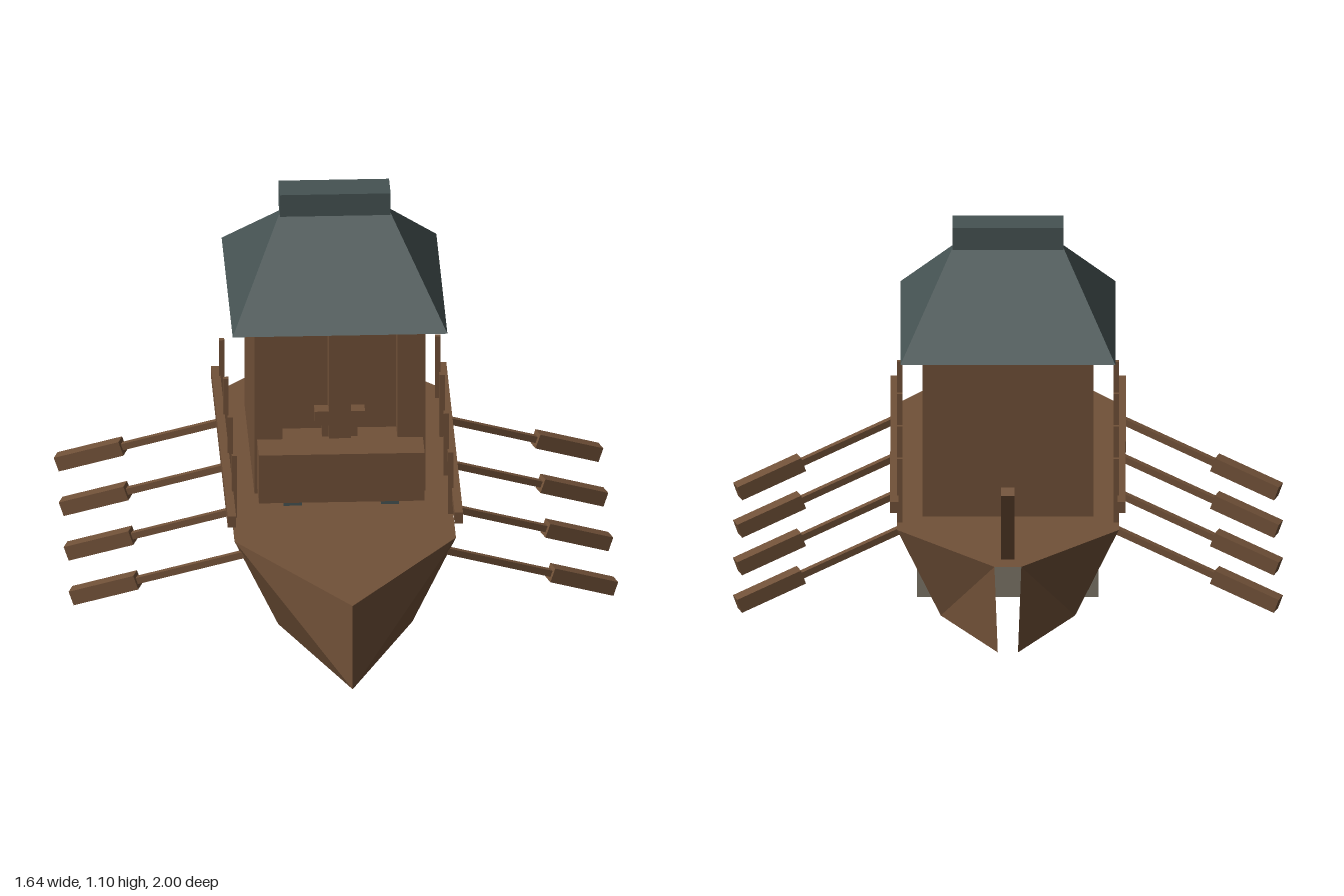
import * as THREE from 'three';

export function createModel() {
  const model = new THREE.Group();
  const mat = (name, color) => {
    const m = new THREE.MeshStandardMaterial({ color, side: THREE.DoubleSide, flatShading: true });
    m.name = name;
    return m;
  };
  const wood = mat('wood', 0x715138);
  const slate = mat('slate', 0x465353);
  const stone = mat('stone', 0x7d7768);

  const add = (name, geometry, material) => {
    const mesh = new THREE.Mesh(geometry, material);
    mesh.name = name;
    model.add(mesh);
    return mesh;
  };
  // Box given by its low and high limits on each axis
  const box = (name, material, [x0, x1], [y0, y1], [z0, z1]) => {
    const mesh = add(name, new THREE.BoxGeometry(x1 - x0, y1 - y0, z1 - z0), material);
    mesh.position.set((x0 + x1) / 2, (y0 + y1) / 2, (z0 + z1) / 2);
    return mesh;
  };
  // Square bar running between two points
  const bar = (name, from, to, width, height = width) => {
    const mesh = add(name, new THREE.BoxGeometry(width, height, from.distanceTo(to)), wood);
    mesh.position.copy(from).lerp(to, 0.5);
    mesh.lookAt(to);
    return mesh;
  };
  // Faceted geometry from a list of polygons, fanned into triangles
  const facets = (polygons) => {
    const out = [];
    for (const p of polygons) {
      for (let i = 1; i < p.length - 1; i++) out.push(...p[0], ...p[i], ...p[i + 1]);
    }
    const g = new THREE.BufferGeometry();
    g.setAttribute('position', new THREE.Float32BufferAttribute(out, 3));
    g.computeVertexNormals();
    return g;
  };

  // Hull: flared sides, pointed bow, open underneath and at the narrow stern
  const H = 0.27;
  const bowTop = [0, H, 1], bowLow = [0, 0, 1];
  const hull = [];
  for (const s of [1, -1]) {
    const frontTop = [0.33 * s, H, 0.5], frontLow = [0.2 * s, 0, 0.5];
    const backTop = [0.33 * s, H, -0.63], backLow = [0.2 * s, 0, -0.63];
    const sternTop = [0.04 * s, H, -0.96], sternLow = [0.03 * s, 0, -0.96];
    const side = [
      [bowTop, bowLow, frontTop],
      [bowLow, frontLow, frontTop],
      [frontTop, frontLow, backLow, backTop],
      [backTop, backLow, sternTop],
      [backLow, sternLow, sternTop],
      [bowTop, frontTop, backTop, sternTop, [0, H, -0.96]],
    ];
    for (const p of side) hull.push(s > 0 ? p : [...p].reverse());
  }
  // Starboard and port faces both wind outwards
  add('hull', facets(hull.map((p) => [...p].reverse())), wood);

  // Stone ballast trays, open at the bottom and showing through the hull sides
  const tray = (name, w, [y0, y1], [z0, z1]) => {
    const ring = (y) => [[-w, y, z0], [-w, y, z1], [w, y, z1], [w, y, z0]];
    const lo = ring(y0), hi = ring(y1);
    const faces = [hi];
    for (let i = 0; i < 4; i++) {
      const j = (i + 1) % 4;
      faces.push([lo[i], lo[j], hi[j], hi[i]]);
    }
    add(name, facets(faces), stone);
  };
  tray('mainTray', 0.27, [0.02, 0.2], [-0.52, 0.075]);
  tray('frontTray', 0.28, [0.09, 0.2], [0.075, 0.27]);

  // Cabin with a recessed front, three posts and a bench
  box('cabin', wood, [-0.255, 0.255], [H, 0.78], [-0.51, 0.065]);
  for (const x of [-0.213, 0, 0.213]) {
    const w = x === 0 ? 0.033 : 0.042;
    box('frontPost', wood, [x - w, x + w], [H, 0.78], [0.065, 0.145]);
  }
  box('bench', wood, [-0.247, 0.247], [0.29, 0.445], [0.065, 0.265]);
  for (const s of [-1, 1]) {
    const x = 0.145 * s;
    box('benchFoot', slate, [x - 0.027, x + 0.027], [H, 0.29], [0.1, 0.24]);
    box('stool', wood, [0.053 * s - 0.022, 0.053 * s + 0.022], [0.485, 0.53], [0.09, 0.14]);
    box('stoolLeg', wood, [0.043 * s - 0.01, 0.043 * s + 0.01], [0.445, 0.485], [0.1, 0.13]);
  }

  // Hipped roof with a ridge cap
  const fr = [0.32, 0.78, 0.15], fl = [-0.32, 0.78, 0.15];
  const br = [0.32, 0.78, -0.6], bl = [-0.32, 0.78, -0.6];
  const rr = [0.16, 1.03, -0.225], rl = [-0.16, 1.03, -0.225];
  add('roof', facets([
    [fl, fr, rr, rl], [br, bl, rl, rr], [fr, br, rr], [bl, fl, rl], [fl, bl, br, fr],
  ]), slate);
  box('ridgeCap', slate, [-0.165, 0.165], [1.03, 1.1], [-0.28, -0.17]);

  // Railings and oars on both sides
  for (const s of [1, -1]) {
    const rail = box('rail', wood, [-0.0125, 0.0125], [0.32, 0.355], [-0.62, 0.51]);
    rail.position.x = 0.338 * s;
    for (let i = 0; i < 4; i++) {
      const z = 0.315 - 0.29 * i;
      const post = box('railPost', wood, [-0.008, 0.008], [H, 0.47], [z - 0.008, z + 0.008]);
      post.position.x = 0.322 * s;

      const along = (x) => new THREE.Vector3(
        x * s, 0.215 - 0.38 * (x - 0.35), 0.495 - 0.335 * i - 0.3 * (x - 0.35));
      bar('oarShaft', along(0.26), along(0.63), 0.02);
      bar('oarBlade', along(0.615), along(0.805), 0.045);
    }
  }

  // Steering oar leaning off the stern
  bar('steeringOar', new THREE.Vector3(0, 0.265, -0.87), new THREE.Vector3(0, 0.515, -0.982), 0.04, 0.036);

  return model;
}
